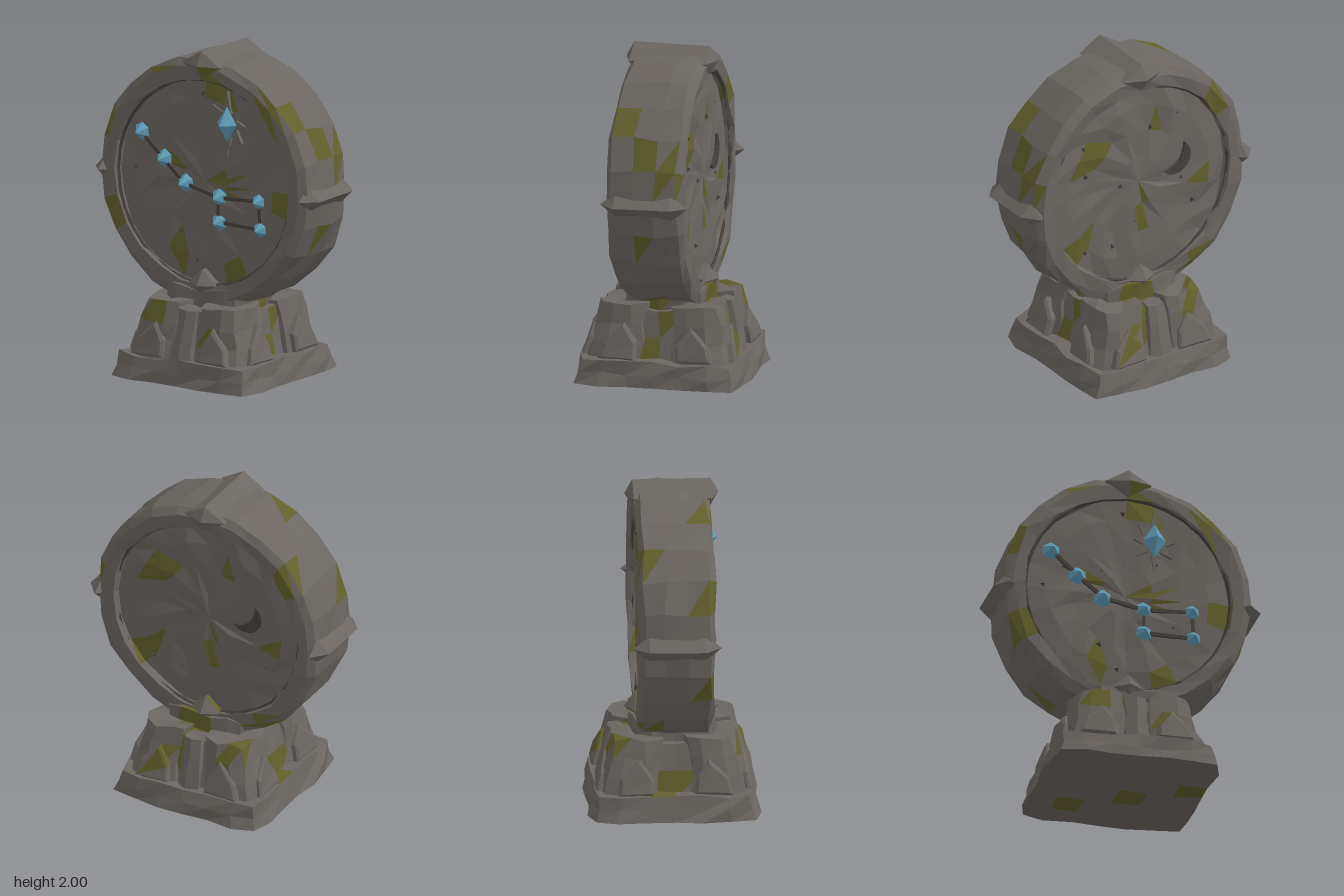
import * as THREE from 'three';

const mat = (color, extra = {}) => new THREE.MeshStandardMaterial({ color, flatShading: true, ...extra });
const stoneMat = mat(0x6b6661), mossMat = mat(0x62602c), darkMat = mat(0x45413e), gemMat = mat(0x5f9db8);
const CY = 1.195; // height of the disc centre

// continuous pseudo-random value in -1..1, so shared corners stay together
const noise = (x, y, z, s) => Math.sin(x * 23.1 + y * 17.7 + z * 29.3 + s * 4.7 + 2 * Math.sin(x * 11.3 - y * 19.1 + z * 7.9 + s));

// Roughens a geometry and splits its faces into bare and mossy stone
function stone(name, source, amp, moss = 0.8) {
  const src = source.index ? source.toNonIndexed() : source;
  const p = src.attributes.position, faces = [[], []];
  for (let i = 0; i < p.count; i++) {
    const [x, y, z] = [p.getX(i), p.getY(i), p.getZ(i)];
    p.setXYZ(i, x + amp * noise(x, y, z, 1), y < 0.005 ? 0 : y + amp * noise(x, y, z, 2), z + amp * noise(x, y, z, 3));
  }
  for (let i = 0; i < p.count; i += 3) {
    const c = [0, 0, 0], tri = [];
    for (let j = i; j < i + 3; j++) {
      const v = [p.getX(j), p.getY(j), p.getZ(j)];
      tri.push(...v);
      v.forEach((n, k) => { c[k] += n / 3; });
    }
    const grows = Math.sin(c[0] * 9 + c[1] * 7 + 1) * Math.sin(c[2] * 8 - c[1] * 5 + c[0] * 6 + 2);
    faces[grows > moss ? 1 : 0].push(...tri);
  }
  const geo = new THREE.BufferGeometry();
  geo.setAttribute('position', new THREE.Float32BufferAttribute(faces.flat(), 3));
  geo.addGroup(0, faces[0].length / 3, 0);
  geo.addGroup(faces[0].length / 3, faces[1].length / 3, 1);
  geo.computeVertexNormals();
  const mesh = new THREE.Mesh(geo, [stoneMat, mossMat]);
  mesh.name = name;
  return mesh;
}

// Box with its vertical corners cut back
function block(w, h, d, sx, sy, sz, cut, x = 0, y = 0, z = 0) {
  const geo = new THREE.BoxGeometry(w, h, d, sx, sy, sz), p = geo.attributes.position;
  for (let i = 0; i < p.count; i++) {
    const px = p.getX(i), pz = p.getZ(i);
    if (Math.abs(px) > w / 2 - 0.001 && Math.abs(pz) > d / 2 - 0.001) {
      p.setX(i, px - Math.sign(px) * cut);
      p.setZ(i, pz - Math.sign(pz) * cut);
    }
  }
  return geo.translate(x, y, z);
}

// Narrows a geometry towards the top
function taper(geo, k = 0.54, y0 = 0.15) {
  const p = geo.attributes.position;
  for (let i = 0; i < p.count; i++) {
    const f = 1 - k * (p.getY(i) - y0);
    p.setX(i, p.getX(i) * f);
    p.setZ(i, p.getZ(i) * f);
  }
  return geo;
}

// Diamond-section stone running through the disc, pointed at front and back
function keystone(hw, hh, ridge, tip, x, y) {
  const pts = [[0, -tip], [1, -ridge], [1, ridge], [0, tip]].map(a => new THREE.Vector2(...a));
  return stone('keystone', new THREE.LatheGeometry(pts, 4).rotateX(Math.PI / 2).scale(hw, hh, 1).translate(x, y, 0), 0.003, 0.75);
}

function createModel() {
  const model = new THREE.Group();
  const add = (name, geo, material, x = 0, y = 0, z = 0) => {
    const m = new THREE.Mesh(geo, material);
    m.name = name;
    m.position.set(x, y, z);
    model.add(m);
    return m;
  };

  // Base slab with a sloping upper edge
  const slab = taper(block(0.99, 0.145, 0.99, 6, 2, 6, 0.03, 0, 0.0725, 0), 0.5, 0.07);
  model.add(stone('baseSlab', slab, 0.012, 0.75));

  // Plinth: core, four corner blocks, front and back pillars
  model.add(stone('plinthCore', taper(block(0.76, 0.31, 0.82, 4, 2, 4, 0.02, 0, 0.285, 0)), 0.01, 0.3));
  for (const sx of [-1, 1]) for (const sz of [-1, 1]) {
    const corner = block(0.35, 0.34, 0.37, 3, 3, 3, 0.03, sx * 0.245, 0.3, sz * 0.26);
    model.add(stone('cornerBlock', taper(corner), 0.012));
  }
  for (const s of [-1, 1]) {
    model.add(stone('plinthPillar', taper(block(0.19, 0.35, 0.12, 2, 3, 1, 0.025, 0, 0.275, s * 0.405)), 0.009));
  }

  // Pointed arches, two on each side of the plinth
  const arch = new THREE.Shape([[-0.11, 0.15], [0.11, 0.15], [0.1, 0.25], [0, 0.36], [-0.1, 0.25]].map(a => new THREE.Vector2(...a)));
  for (let side = 0; side < 4; side++) for (const s of [-1, 1]) {
    const geo = new THREE.ExtrudeGeometry(arch, { depth: 0.03, bevelThickness: 0.015, bevelSize: 0.015, bevelOffset: -0.015, bevelSegments: 1 });
    geo.translate(s * 0.235, 0, side % 2 ? 0.41 : 0.43).rotateY(side * Math.PI / 2);
    model.add(stone('plinthArch', taper(geo), 0.006, 0.85));
  }

  // Collar between plinth and disc
  model.add(stone('collar', block(0.56, 0.12, 0.5, 5, 1, 4, 0.03, 0, 0.49, 0), 0.014, 0.4));

  // Disc: raised rim around a recessed face on both sides
  const half = [[0, 0.185], [0.16, 0.188], [0.34, 0.184], [0.5, 0.188], [0.625, 0.18], [0.635, 0.226], [0.71, 0.23], [0.755, 0.2], [0.765, 0.07]];
  const profile = [...half.map(([r, z]) => [r, -z]), ...half.slice().reverse()].map(a => new THREE.Vector2(...a));
  const disc = new THREE.LatheGeometry(profile, 24).rotateX(Math.PI / 2).translate(0, CY, 0);
  model.add(stone('disc', disc, 0.01, 0.72));
  for (const s of [-1, 1]) {
    add('rimGroove', new THREE.TorusGeometry(0.63, 0.012, 4, 32), darkMat, 0, CY, s * 0.2);
  }

  // Keystones at top, sides and bottom
  model.add(keystone(0.14, 0.083, 0.235, 0.28, 0, 1.915));
  model.add(keystone(0.1, 0.09, 0.22, 0.28, 0, 0.57));
  for (const s of [-1, 1]) model.add(keystone(0.085, 0.08, 0.17, 0.265, s * 0.735, 1.18));

  // Constellation gems and the grooves joining them
  const gems = [[-0.465, 1.44], [-0.305, 1.295], [-0.15, 1.165], [0.1, 1.11], [0.395, 1.125], [0.1, 0.96], [0.405, 0.955]];
  for (const [x, y] of gems) {
    add('gem', new THREE.ConeGeometry(0.062, 0.08, 6).rotateX(Math.PI / 2), gemMat, x, y, 0.215);
  }
  for (const [a, b] of [[0, 1], [1, 2], [2, 3], [3, 4], [3, 5], [4, 6], [5, 6]]) {
    const dx = gems[b][0] - gems[a][0], dy = gems[b][1] - gems[a][1];
    const line = add('starLine', new THREE.BoxGeometry(Math.hypot(dx, dy), 0.022, 0.03), darkMat,
      gems[a][0] + dx / 2, gems[a][1] + dy / 2, 0.184);
    line.rotation.z = Math.atan2(dy, dx);
  }

  // Large star gem on an eight-rayed mount
  const rays = new THREE.Shape();
  for (let i = 0; i < 16; i++) {
    const a = i * Math.PI / 8, r = i % 2 ? 0.075 : i % 4 ? 0.15 : i % 8 ? 0.2 : 0.13;
    rays[i ? 'lineTo' : 'moveTo'](r * Math.cos(a), r * Math.sin(a));
  }
  add('starMount', new THREE.ExtrudeGeometry(rays, { depth: 0.03, bevelEnabled: false }), stoneMat, 0.165, 1.57, 0.17);
  add('starGem', new THREE.ConeGeometry(1, 0.1, 4).rotateX(Math.PI / 2).scale(0.088, 0.135, 1), gemMat, 0.165, 1.57, 0.23);

  // Crescent on the back
  const crescent = new THREE.Shape();
  crescent.absarc(0, 0, 0.11, -2.4, 0.9, false);
  crescent.quadraticCurveTo(0.06, -0.07, 0.11 * Math.cos(-2.4), 0.11 * Math.sin(-2.4));
  const moon = add('crescent', new THREE.ExtrudeGeometry(crescent, { depth: 0.03, bevelEnabled: false, curveSegments: 8 }), darkMat, -0.26, 1.29, -0.17);
  moon.rotation.y = Math.PI;

  // Small chips scattered over both faces
  for (let i = 0; i < 20; i++) {
    const s = i % 2 ? 1 : -1, a = i * 2.4, r = 0.12 + 0.43 * Math.sqrt(i / 20);
    const chip = add('chip', new THREE.ConeGeometry(0.03, 0.03, 3).rotateX(s * Math.PI / 2), darkMat,
      r * Math.cos(a), CY + r * Math.sin(a), s * 0.186);
    chip.rotation.z = i;
  }
  return model;
}

export { createModel };
